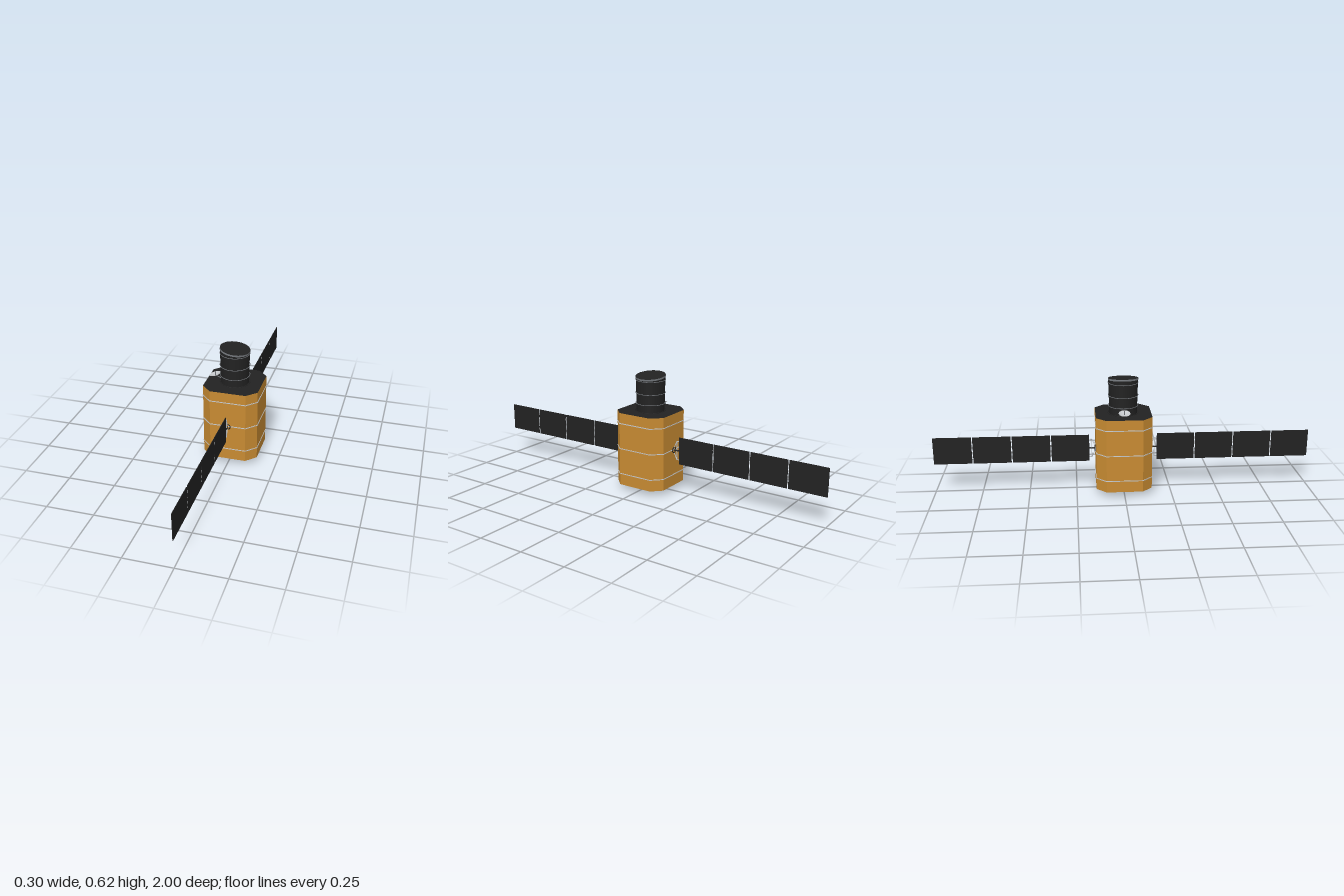
import * as THREE from 'three';

const mat = (name, color, extra = {}) => {
  const m = new THREE.MeshStandardMaterial({ color, ...extra });
  m.name = name;
  return m;
};

export function createModel() {
  const gold = mat('goldFoil', 0xc88b32);
  const black = mat('black', 0x222222, { side: THREE.DoubleSide });
  const silver = mat('silver', 0xc4c7ca, { side: THREE.DoubleSide });
  const grey = mat('grey', 0x74787d);
  const root = new THREE.Group();
  root.name = 'spaceTelescope';

  const add = (name, geo, material, x = 0, y = 0, z = 0, parent = root) => {
    const m = new THREE.Mesh(geo, material);
    m.name = name;
    m.position.set(x, y, z);
    parent.add(m);
    return m;
  };
  // Upright prism with a chamfered square section
  const prism = (half, flat, height) => {
    const s = new THREE.Shape([
      [half, -flat], [half, flat], [flat, half], [-flat, half],
      [-half, flat], [-half, -flat], [-flat, -half], [flat, -half],
    ].map(([x, y]) => new THREE.Vector2(x, y)));
    return new THREE.ExtrudeGeometry(s, { depth: height, bevelEnabled: false }).rotateX(-Math.PI / 2);
  };
  // Round bar between two points
  const bar = (name, a, b, r, material, parent = root) => {
    const p = new THREE.Vector3(...a), q = new THREE.Vector3(...b);
    const d = q.clone().sub(p);
    const m = add(name, new THREE.CylinderGeometry(r, r, d.length(), 8), material, 0, 0, 0, parent);
    m.position.copy(p).add(q).multiplyScalar(0.5);
    m.quaternion.setFromUnitVectors(new THREE.Vector3(0, 1, 0), d.normalize());
    return m;
  };
  const ring = (name, r, tube, y, material) =>
    add(name, new THREE.TorusGeometry(r, tube, 6, 40).rotateX(Math.PI / 2), material, 0, y, 0);

  // Foil-covered body with black end plates and silver straps
  add('body', prism(0.146, 0.095, 0.393), [black, gold], 0, 0.027, 0);
  for (const y of [0.089, 0.227, 0.364]) add('bodyStrap', prism(0.1485, 0.096, 0.004), silver, 0, y - 0.002, 0);

  // Telescope tube, flared near the top and cut at a slant
  const slope = 0.115;
  const tube = new THREE.LatheGeometry([
    [0.074, 0.42], [0.074, 0.47], [0.0755, 0.53], [0.078, 0.6],
  ].map(([x, y]) => new THREE.Vector2(x, y)), 40);
  const pos = tube.attributes.position;
  for (let i = 0; i < pos.count; i++) {
    if (pos.getY(i) > 0.59) pos.setY(i, 0.6 - slope * pos.getX(i));
  }
  add('telescopeTube', tube, black);
  for (const y of [0.461, 0.516, 0.584]) ring('tubeRing', 0.0782, 0.0016, y, grey);
  ring('tubeFootRing', 0.08, 0.002, 0.421, black);
  const lid = add('apertureLid', new THREE.CylinderGeometry(0.079, 0.079, 0.009, 40), [grey, black, black], 0, 0.602, 0);
  lid.rotation.z = -Math.atan(slope);

  // Dish antenna on a strut beside the tube
  const dish = new THREE.Group();
  dish.name = 'dishAntenna';
  dish.position.set(-0.106, 0.438, 0);
  dish.rotation.z = 0.27;
  root.add(dish);
  add('dishBowl', new THREE.LatheGeometry([
    [0, 0], [0.011, 0.0012], [0.021, 0.0045], [0.03, 0.009],
  ].map(([x, y]) => new THREE.Vector2(x, y)), 24), silver, 0, 0, 0, dish);
  bar('dishFeed', [-0.106, 0.438, 0], [-0.106, 0.459, 0], 0.0025, grey);
  bar('dishStrut', [-0.106, 0.439, 0], [-0.072, 0.424, 0], 0.002, grey);

  // Base ring with a black underside
  add('baseRing', new THREE.CylinderGeometry(0.105, 0.105, 0.01, 40), [grey, black, black], 0, 0.023, 0);
  ring('baseTrim', 0.098, 0.0015, 0.0175, grey);

  // Small thrusters, canted outward
  for (const [x, z, tilt] of [[-0.052, 0, 0], [0.05, 0.05, 0.5], [0.05, -0.05, 0.5]]) {
    const t = new THREE.Group();
    t.name = 'thruster';
    t.position.set(x, 0.014, z);
    root.add(t);
    add('thrusterMount', new THREE.BoxGeometry(0.014, 0.008, 0.014), grey, 0, 0, 0, t);
    const n = add('thrusterNozzle', new THREE.CylinderGeometry(0.004, 0.006, 0.012, 12, 1, true),
      silver, tilt * 0.014, -0.007, Math.sign(z) * 0.005, t);
    n.rotation.set(-Math.sign(z) * tilt, 0, tilt);
  }

  // Solar wings on the front and back faces
  const yc = 0.225, inner = 0.177, pitch = 0.2065;
  for (const side of [1, -1]) {
    const wing = new THREE.Group();
    wing.name = side > 0 ? 'frontSolarWing' : 'backSolarWing';
    wing.position.y = yc;
    wing.rotation.y = side > 0 ? 0 : Math.PI;
    root.add(wing);

    // Rotary joint and yoke
    add('jointRing', new THREE.TorusGeometry(0.0145, 0.0025, 8, 28), black, 0, 0, 0.149, wing);
    bar('jointShaft', [0, 0, 0.144], [0, 0, 0.178], 0.004, black, wing);
    for (const s of [1, -1]) {
      bar('yokeArm', [0, s * 0.014, 0.15], [0, s * 0.05, 0.166], 0.0022, silver, wing);
      bar('yokeLink', [0, s * 0.05, 0.165], [0, s * 0.05, 0.179], 0.0022, silver, wing);
    }
    bar('yokeCrossbar', [0, -0.05, 0.167], [0, 0.05, 0.167], 0.0022, silver, wing);

    // Four panels joined by hinges
    for (let i = 0; i < 4; i++) {
      const z0 = inner + i * pitch, len = 1 - inner - 3 * pitch;
      add('solarPanel', new THREE.BoxGeometry(0.003, 0.146, len - 0.003), black, 0, 0, z0 + len / 2 + 0.0015, wing);
      if (i === 0) continue;
      for (const y of [-0.045, -0.015, 0.015, 0.045]) {
        bar('panelHinge', [0, y - 0.006, z0], [0, y + 0.006, z0], 0.0024, silver, wing);
      }
    }
  }
  return root;
}
